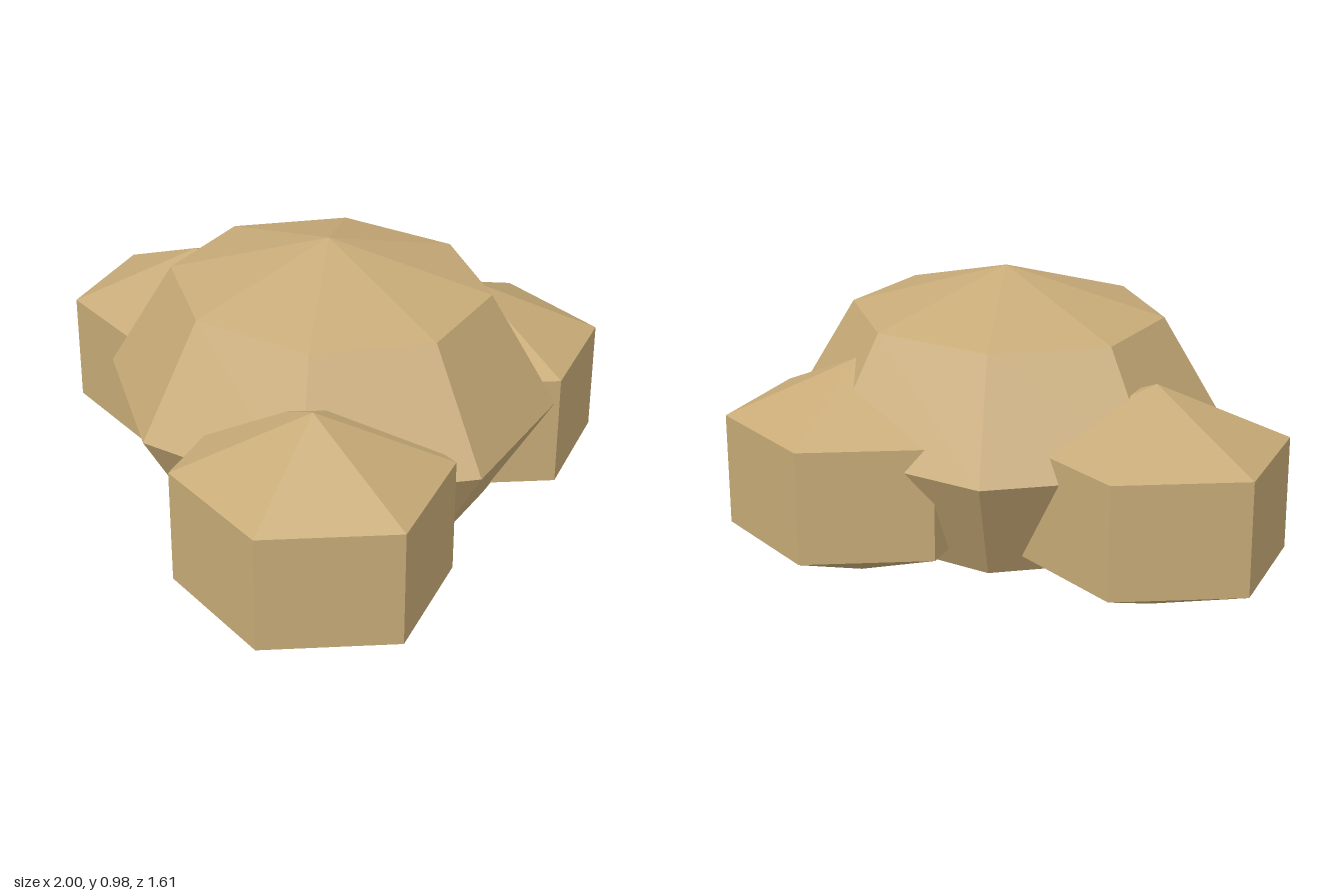
import * as THREE from 'three';

export function createModel() {
  const group = new THREE.Group();
  group.name = 'boulderCluster';

  const sandstone = new THREE.MeshStandardMaterial({ color: 0xc8ab78, flatShading: true });
  sandstone.name = 'sandstone';

  // A faceted boulder: low-poly sphere stretched to its three radii
  function boulder(name, sides, rings, radii, position) {
    const geometry = new THREE.SphereGeometry(1, sides, rings);
    geometry.scale(...radii);
    const mesh = new THREE.Mesh(geometry, sandstone);
    mesh.name = name;
    mesh.position.set(...position);
    group.add(mesh);
  }

  // Large eight-sided boulder in the middle
  boulder('mainBoulder', 8, 4, [0.744, 0.489, 0.676], [0.068, 0.489, 0.037]);

  // Three smaller six-sided boulders leaning into it
  const small = [0.491, 0.353, 0.46];
  boulder('frontLeftBoulder', 6, 3, small, [0.575, 0.383, 0.457]);
  boulder('rightBoulder', 6, 3, small, [-0.575, 0.383, 0.117]);
  boulder('backBoulder', 6, 3, small, [0.17, 0.383, -0.46]);

  return group;
}
